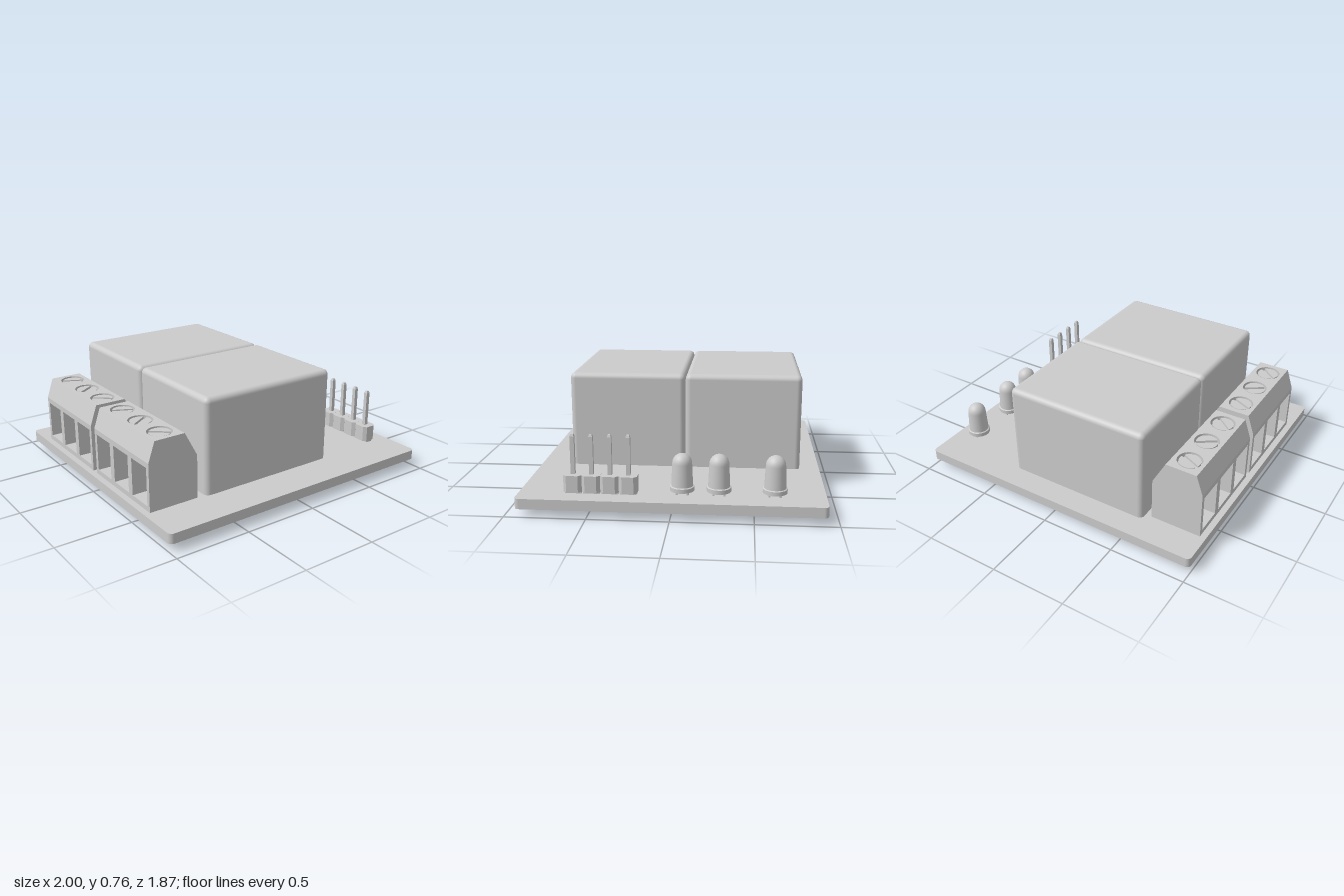
import * as THREE from 'three';
import { RoundedBoxGeometry } from 'three/addons/geometries/RoundedBoxGeometry.js';

const mat = new THREE.MeshStandardMaterial({ color: 0xcccccc });

function add(parent, name, geo, x = 0, y = 0, z = 0) {
  const m = new THREE.Mesh(geo, mat);
  m.name = name;
  m.position.set(x, y, z);
  parent.add(m);
  return m;
}

const group = (parent, name) => {
  const g = new THREE.Group();
  g.name = name;
  parent.add(g);
  return g;
};

const polygon = (pts) => new THREE.Shape(pts.map(([x, y]) => new THREE.Vector2(x, y)));

// Extrude along z, or stand the shape up along y (shape y becomes -z)
const extrude = (shape, depth) =>
  new THREE.ExtrudeGeometry(shape, { depth, bevelEnabled: false, curveSegments: 16 });
const extrudeUp = (shape, height) => extrude(shape, height).rotateX(-Math.PI / 2);

function roundedRect(w, d, r) {
  const s = new THREE.Shape();
  const x = w / 2 - r, y = d / 2 - r;
  s.absarc(x, y, r, 0, Math.PI / 2);
  s.absarc(-x, y, r, Math.PI / 2, Math.PI);
  s.absarc(-x, -y, r, Math.PI, Math.PI * 1.5);
  s.absarc(x, -y, r, Math.PI * 1.5, Math.PI * 2);
  return s;
}

// Square pin from y0 to y1 with tapered ends
function pin(parent, name, x, z, y0, y1, w) {
  const r = w / Math.SQRT2, t = 0.015;
  const pts = [[0, y0], [r * 0.6, y0], [r, y0 + t], [r, y1 - t], [r * 0.6, y1], [0, y1]];
  const geo = new THREE.LatheGeometry(pts.map(([a, b]) => new THREE.Vector2(a, b)), 4)
    .rotateY(Math.PI / 4).toNonIndexed();
  geo.computeVertexNormals();
  add(parent, name, geo, x, 0, z);
}

// Relay: box with rounded top and upright edges, flat underside
function relay(parent, z, pinZ) {
  const g = group(parent, 'relay');
  const w = 0.97, h = 0.62, d = 0.752, r = 0.035;
  const geo = new RoundedBoxGeometry(w, h + r, d, 5, r);
  const p = geo.attributes.position, n = geo.attributes.normal;
  const floor = -(h + r) / 2 + r;
  for (let i = 0; i < p.count; i++) {
    if (p.getY(i) < floor - 1e-4) {
      p.setY(i, floor);
      n.setXYZ(i, 0, -1, 0);
    }
  }
  add(g, 'relayCase', geo, -0.113, 0.14 - floor, z);
  for (const o of [-0.11, 0.11]) pin(g, 'coilPin', 0.13, pinZ + o, 0, 0.145, 0.022);
  for (const o of [-0.22, 0, 0.22]) pin(g, 'contactPin', -0.46, pinZ + o, 0, 0.145, 0.022);
}

// Slotted screw head: disc with two raised segments
function screw(parent, x, z, angle) {
  const g = group(parent, 'terminalScrew');
  const r = 0.067, a = Math.asin(0.011 / r);
  add(g, 'screwDisc', new THREE.CylinderGeometry(r, r, 0.02, 32), 0, 0.53, 0);
  for (const k of [0, Math.PI]) {
    const s = new THREE.Shape();
    s.absarc(0, 0, r, k + a, k + Math.PI - a);
    add(g, 'screwHalf', extrudeUp(s, 0.015), 0, 0.54, 0);
  }
  g.position.set(x, 0, z);
  g.rotation.y = angle;
}

function terminalBlock(parent, z0) {
  const g = group(parent, 'terminalBlock');
  const len = 0.665, pitch = 0.222, sx = -0.813, wall = 0.045;
  const centres = [-1, 0, 1].map((i) => len / 2 + i * pitch);
  const upper = [[-0.625, 0.115], [-0.625, 0.4], [-0.689, 0.52], [-0.929, 0.52], [-0.96, 0.43]];
  // Body with wire pockets on the outer side
  const notch = [[-0.96, 0.395], [-0.73, 0.395], [-0.73, 0.15], [-0.96, 0.15], [-0.96, 0.115]];
  add(g, 'terminalBody', extrude(polygon([...upper, ...notch]), len), 0, 0, z0);
  // Walls between the pockets
  for (let i = 0; i < 4; i++) {
    const t = i % 3 ? wall : wall / 2 + 0.005;
    const z = i === 0 ? 0 : i === 3 ? len - t : len / 2 + (i - 1.5) * pitch - t / 2;
    add(g, 'pocketWall', new THREE.BoxGeometry(0.23, 0.245, t), -0.845, 0.2725, z0 + z + t / 2);
  }
  // Top plate with screw holes, its lower edges spread to follow the slopes
  const top = polygon([[-0.915, 0], [-0.915, -len], [-0.71, -len], [-0.71, 0]]);
  for (const c of centres) {
    const hole = new THREE.Path();
    hole.absarc(sx, -c, 0.079, 0, Math.PI * 2);
    top.holes.push(hole);
  }
  const geo = extrudeUp(top, 0.04);
  const p = geo.attributes.position;
  for (let i = 0; i < p.count; i++) {
    if (p.getY(i) > 0.01) continue;
    if (p.getX(i) < -0.9149) p.setX(i, -0.929);
    if (p.getX(i) > -0.7101) p.setX(i, -0.689);
  }
  geo.computeVertexNormals();
  add(g, 'terminalTop', geo, 0, 0.52, z0);
  const angles = [-0.45, 0.6, -0.7];
  centres.forEach((c, i) => {
    screw(g, sx, z0 + c, angles[i]);
    add(g, 'screwShank', new THREE.CylinderGeometry(0.06, 0.06, 0.245, 24), sx, 0.2725, z0 + c);
    pin(g, 'terminalPin', sx, z0 + c, 0, 0.13, 0.024);
  });
}

function led(parent, z) {
  const g = group(parent, 'led');
  const pts = [[0, 0.15], [0.074, 0.15], [0.074, 0.15], [0.074, 0.176], [0.074, 0.176],
    [0.066, 0.18], [0.066, 0.18], [0.06, 0.318]];
  for (let i = 1; i <= 8; i++) {
    const a = (i / 8) * Math.PI / 2;
    pts.push([0.06 * Math.cos(a), 0.318 + 0.062 * Math.sin(a)]);
  }
  add(g, 'ledLens', new THREE.LatheGeometry(pts.map(([a, b]) => new THREE.Vector2(Math.max(a, 0), b)), 32), 0.85, 0, z);
  for (const o of [-0.033, 0.033]) pin(g, 'ledLeg', 0.85, z + o, 0.02, 0.155, 0.014);
}

function pinHeader(parent) {
  const g = group(parent, 'pinHeader');
  const w = 0.052, h = 0.056, c = 0.02;
  const cell = polygon([[-w, -h + c], [-w + c, -h], [w - c, -h], [w, -h + c],
    [w, h - c], [w - c, h], [-w + c, h], [-w, h - c]]);
  for (let i = 0; i < 4; i++) {
    const z = 0.26 + i * 0.1127;
    add(g, 'headerHousing', extrudeUp(cell, 0.105), 0.85, 0.13, z);
    add(g, 'headerFoot', new THREE.BoxGeometry(0.05, 0.02, 0.1), 0.85, 0.123, z);
    pin(g, 'headerPin', 0.85, z, 0, 0.485, 0.026);
  }
}

export function createModel() {
  const model = new THREE.Group();
  model.name = 'relayBoard';
  add(model, 'circuitBoard', extrudeUp(roundedRect(2, 1.866, 0.03), 0.065), 0, 0.052, 0);
  relay(model, 0.333, 0.32);
  relay(model, -0.422, -0.432);
  terminalBlock(model, -0.725);
  terminalBlock(model, -0.012);
  for (const z of [-0.622, -0.287, -0.065]) led(model, z);
  pinHeader(model);
  return model;
}
